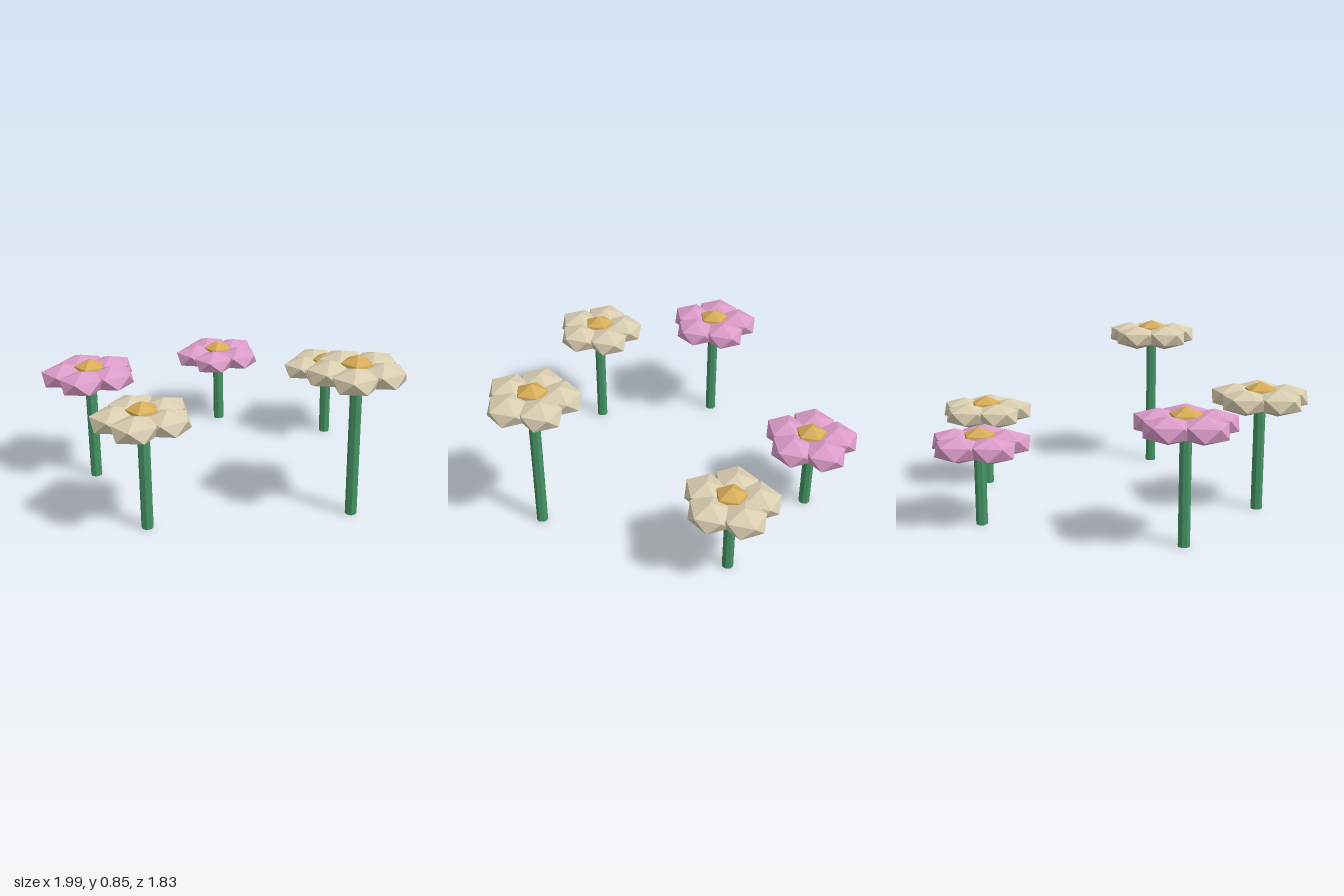
import * as THREE from 'three';

const material = (name, color) => {
  const m = new THREE.MeshStandardMaterial({ color });
  m.name = name;
  m.flatShading = true;
  return m;
};

// Flattened icosahedron standing on one corner, upper ring pointing to +x
function gem(rx, ry, rz) {
  const g = new THREE.IcosahedronGeometry(1, 0);
  g.rotateZ(-Math.atan(2 / (1 + Math.sqrt(5))));
  return g.scale(rx, ry, rz);
}

export function createModel() {
  const cream = material('cream petal', 0xd9cdb0);
  const pink = material('pink petal', 0xdb9bc8);
  const gold = material('golden centre', 0xd6aa55);
  const green = material('green stem', 0x479566);

  const petalGeo = gem(0.134, 0.067, 0.12);
  const centreGeo = gem(0.09, 0.067, 0.09);

  // x, z, height of the bloom, petal colour
  const flowers = [
    [0.045, 0.68, 0.765, cream],
    [-0.77, 0.05, 0.587, cream],
    [-0.585, -0.595, 0.587, pink],
    [0.44, -0.685, 0.41, pink],
    [0.74, -0.08, 0.41, cream],
  ];

  const model = new THREE.Group();
  model.name = 'flowers';

  for (const [x, z, h, petalMat] of flowers) {
    const flower = new THREE.Group();
    flower.name = 'flower';
    flower.position.set(x, 0, z);

    // Stem
    const stem = new THREE.Mesh(new THREE.CylinderGeometry(0.03, 0.03, h, 8), green);
    stem.name = 'stem';
    stem.position.y = h / 2;
    flower.add(stem);

    // Ring of five petals
    for (let i = 0; i < 5; i++) {
      const a = (i / 5) * Math.PI * 2;
      const petal = new THREE.Mesh(petalGeo, petalMat);
      petal.name = 'petal';
      petal.position.set(0.135 * Math.cos(a), h, 0.135 * Math.sin(a));
      flower.add(petal);
    }

    // Centre
    const centre = new THREE.Mesh(centreGeo, gold);
    centre.name = 'flowerCentre';
    centre.position.y = h + 0.02;
    flower.add(centre);

    model.add(flower);
  }
  return model;
}
